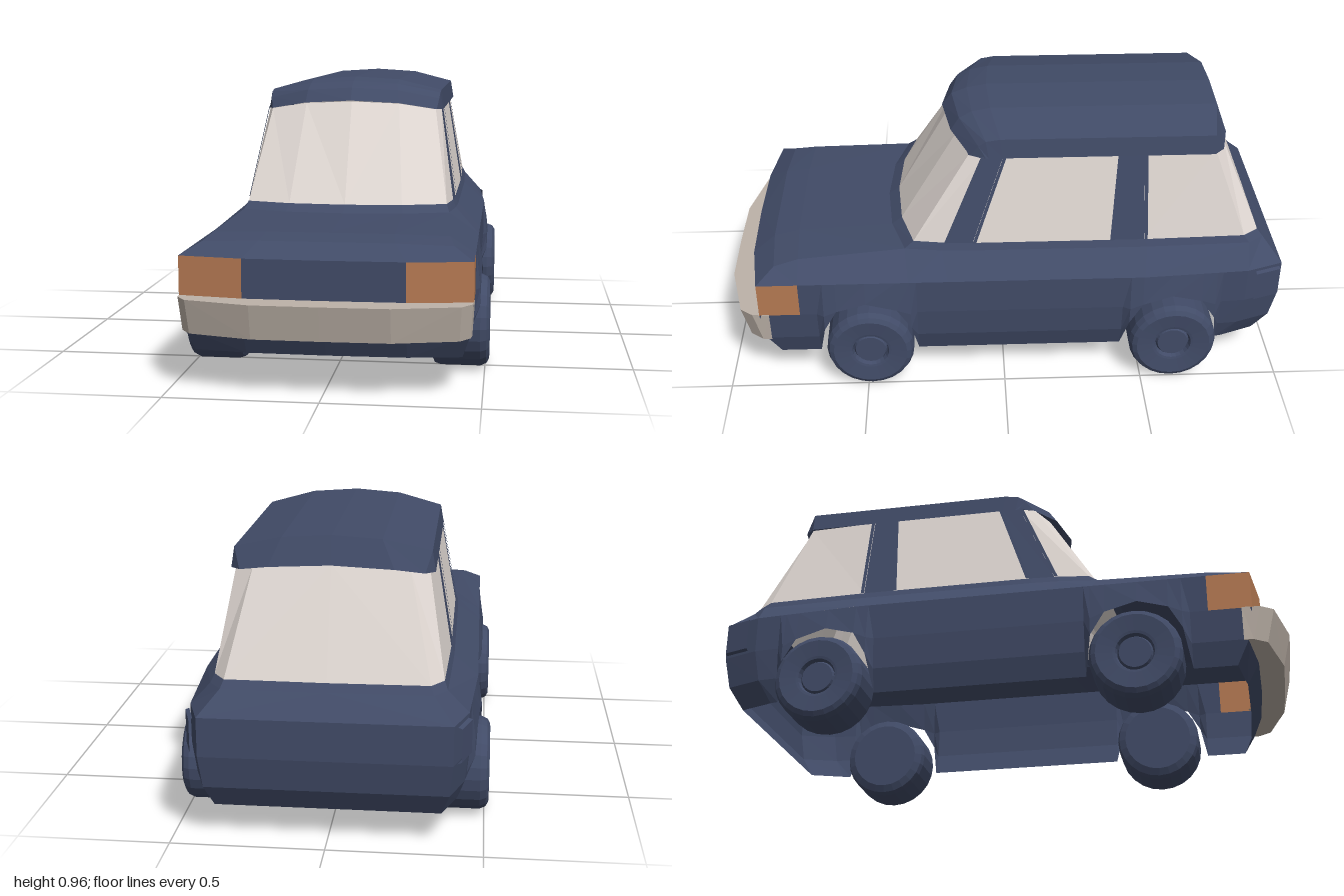
import * as THREE from 'three';

const paint = (name, color) => {
  const m = new THREE.MeshStandardMaterial({ color, side: THREE.DoubleSide });
  m.name = name;
  return m;
};

// Faceted sheet through rows of [x, y, z] points on the +x half, mirrored to the -x half.
// pick(row, column) chooses which cells are kept.
function sheet(name, rows, material, pick = () => true) {
  const pos = [];
  const tri = (a, b, c) => {
    const pts = [a, b, c].map((p) => new THREE.Vector3(...p));
    const area = pts[1].clone().sub(pts[0]).cross(pts[2].clone().sub(pts[0])).length();
    if (area < 1e-7) return;
    pos.push(...a, ...b, ...c);
    for (const p of [a, c, b]) pos.push(-p[0], p[1], p[2]);
  };
  for (let i = 0; i < rows.length - 1; i++) {
    for (let j = 0; j < rows[i].length - 1; j++) {
      if (!pick(i, j)) continue;
      const a = rows[i][j], b = rows[i][j + 1], c = rows[i + 1][j + 1], d = rows[i + 1][j];
      tri(a, b, c);
      tri(a, c, d);
    }
  }
  const g = new THREE.BufferGeometry();
  g.setAttribute('position', new THREE.Float32BufferAttribute(pos, 3));
  g.computeVertexNormals();
  const mesh = new THREE.Mesh(g, material);
  mesh.name = name;
  return mesh;
}

export function createModel() {
  const car = new THREE.Group();
  car.name = 'car';
  const navy = paint('navy paint', 0x414b67);
  const glass = paint('pale glass', 0xe0d8d3);
  const grey = paint('bumper grey', 0xbdb2a8);
  const amber = paint('amber lamp', 0xb67a53);

  // Cabin plan from front centre round to rear centre: x, z at the sill, then x, y, z at the roof
  const plan = [
    [0, 0.38, 0, 0.88, 0.18],
    [0.2, 0.365, 0.17, 0.872, 0.155],
    [0.355, 0.32, 0.302, 0.85, 0.12],
    [0.372, 0.2, 0.32, 0.853, 0.065],
    [0.376, 0.11, 0.322, 0.853, 0.0],
    [0.376, -0.39, 0.322, 0.853, -0.41],
    [0.376, -0.5, 0.322, 0.853, -0.49],
    [0.365, -0.86, 0.31, 0.853, -0.74],
    [0.325, -0.915, 0.25, 0.862, -0.775],
    [0, -0.92, 0, 0.875, -0.78],
  ];
  const ledge = plan.map(([x, z]) => [x * 1.03, 0.505, z * (z > 0 ? 1.1 : 1.022)]);
  const sill = plan.map(([x, z]) => [x, 0.53, z]);
  const head = plan.map(([, , x, y, z]) => [x, y, z]);
  const cabin = [ledge, sill, head];
  const isPillar = (j) => j === 3 || j === 5;
  car.add(sheet('cabinFrame', cabin, navy, (i, j) => i === 0 || isPillar(j)));
  car.add(sheet('windows', cabin, glass, (i, j) => i === 1 && !isPillar(j)));

  // Window surrounds: slim strips standing just proud of the side glass
  const onSide = (j, t, dz) => {
    const a = sill[j], b = head[j];
    return [a[0] + (b[0] - a[0]) * t + 0.004, a[1] + (b[1] - a[1]) * t, a[2] + (b[2] - a[2]) * t + dz];
  };
  for (const [j, dz] of [[3, 0.012], [4, -0.012], [5, 0.012], [6, -0.012]]) {
    const cols = dz > 0 ? [dz, 0] : [0, dz];
    car.add(sheet('windowSurround', [0, 1].map((t) => cols.map((d) => onSide(j, t, d))), navy));
  }

  // Roof: rows front to back, columns centre to lower side edge
  car.add(sheet('roof', [
    [[0, 0.885, 0.21], [0.17, 0.875, 0.18], [0.305, 0.85, 0.115], [0.326, 0.848, 0.07]],
    [[0, 0.93, 0.175], [0.165, 0.92, 0.15], [0.312, 0.888, 0.085], [0.326, 0.848, 0.06]],
    [[0, 0.952, 0.12], [0.16, 0.942, 0.105], [0.315, 0.908, 0.06], [0.326, 0.848, 0.05]],
    [[0, 0.965, 0.05], [0.16, 0.955, 0.04], [0.316, 0.916, 0.01], [0.327, 0.848, 0.0]],
    [[0, 0.965, -0.76], [0.16, 0.955, -0.76], [0.316, 0.916, -0.735], [0.327, 0.848, -0.73]],
    [[0, 0.875, -0.795], [0.2, 0.865, -0.793], [0.295, 0.85, -0.77], [0.327, 0.848, -0.735]],
  ], navy));

  // Bonnet, running back to the windscreen ledge
  car.add(sheet('bonnet', [
    [[0, 0.43, 0.91], [0.26, 0.43, 0.905], [0.47, 0.43, 0.875], [0.47, 0.43, 0.875]],
    [[0, 0.475, 0.83], [0.22, 0.475, 0.83], [0.405, 0.468, 0.815], [0.47, 0.43, 0.82]],
    [[0, 0.49, 0.74], [0.21, 0.49, 0.74], [0.388, 0.485, 0.73], [0.47, 0.43, 0.73]],
    [ledge[0], ledge[1], ledge[2], [0.47, 0.43, 0.34]],
  ], navy));

  // Sloping shoulder along the sides and round the tail
  const shoulderPlan = [[0.47, 0.34], [0.47, 0.2], [0.47, 0.11], [0.47, -0.39], [0.47, -0.5],
    [0.445, -0.87], [0.4, -1], [0, -1]];
  car.add(sheet('shoulder', [shoulderPlan.map(([x, z]) => [x, 0.43, z]), ledge.slice(2)], navy));

  // Lower body stations: x, z, lower edge, flare
  const arch = (zc) => [[0.185, 0.11, 0], [0.16, 0.24, 0.014], [0.115, 0.32, 0.016], [0.01, 0.35, 0.016],
    [-0.1, 0.32, 0.016], [-0.15, 0.24, 0.014], [-0.172, 0.11, 0]].map(([dz, b, f]) => {
    const z = zc + dz;
    return [0.47 - 0.0676 * Math.max(0, -0.5 - z), z, b, f];
  });
  const stations = [[0, 0.91, 0.11, 0], [0.26, 0.905, 0.11, 0], [0.47, 0.875, 0.11, 0], [0.47, 0.73, 0.11, 0],
    ...arch(0.485), ...arch(-0.61),
    [0.445, -0.87, 0.11, 0], [0.4, -1, 0.11, 0], [0, -1, 0.11, 0]];
  const levels = [[0.11, 1], [0.19, 0.3], [0.3, 0], [0.43, 0]];
  const lower = levels.map(([y, t], row) => stations.map(([x, z, b, f]) => [
    Math.max(0, x - (x > 0.3 && b < 0.2 ? 0.036 * t : 0)) + (row < 3 ? f : 0),
    Math.max(y, b),
    z * (Math.abs(z) > 0.84 ? 1 - 0.07 * t : 1),
  ]));
  const isLamp = (i, j) => i === 2 && (j === 1 || j === 2);
  car.add(sheet('lowerBody', lower, navy, (i, j) => !isLamp(i, j)));
  car.add(sheet('headlamps', lower, amber, isLamp));

  // Wraparound front bumper: lower lip, face, top
  const bumperPlan = [[0, 1], [0.22, 0.997], [0.435, 0.945], [0.468, 0.9], [0.472, 0.84]];
  const bumperRow = (y, inset) => bumperPlan.map(([x, z], j) => [
    x > 0.3 ? x - inset * 0.25 : x, y, j < 4 ? z - inset : z]);
  const bumperBack = (y) => [[0, y, 0.89], [0.22, y, 0.885], [0.42, y, 0.86], [0.45, y, 0.85], [0.455, y, 0.84]];
  car.add(sheet('frontBumper',
    [bumperBack(0.187), bumperRow(0.187, 0.028), bumperRow(0.302, 0), bumperBack(0.302)], grey));

  // Tail lamp housings on the rear corners
  const housing = (dx, y) => [[0.442 + dx, y, -0.9], [0.412 + dx, y, -0.99]];
  car.add(sheet('tailLampHousing',
    [housing(0, 0.305), housing(0.013, 0.31), housing(0.013, 0.42), housing(0, 0.425)], navy));

  // Wheels: tyre, recessed ring and hub in one turned profile, as [radius, distance from centre line]
  const profile = [[0, 0.318], [0.125, 0.318], [0.15, 0.33], [0.157, 0.35], [0.157, 0.485], [0.148, 0.505],
    [0.132, 0.514], [0.075, 0.508], [0.066, 0.506], [0.06, 0.49], [0.054, 0.5], [0, 0.5]];
  const wheelGeometry = new THREE.LatheGeometry(profile.map(([r, h]) => new THREE.Vector2(r, h)), 24).toNonIndexed();
  wheelGeometry.computeVertexNormals();
  for (const side of [1, -1]) {
    for (const z of [0.485, -0.61]) {
      const wheel = new THREE.Mesh(wheelGeometry, navy);
      wheel.name = (z > 0 ? 'front' : 'rear') + (side > 0 ? 'Left' : 'Right') + 'Wheel';
      wheel.rotation.z = -side * Math.PI / 2;
      wheel.position.set(0, 0.157, z);
      car.add(wheel);
    }
  }
  return car;
}
